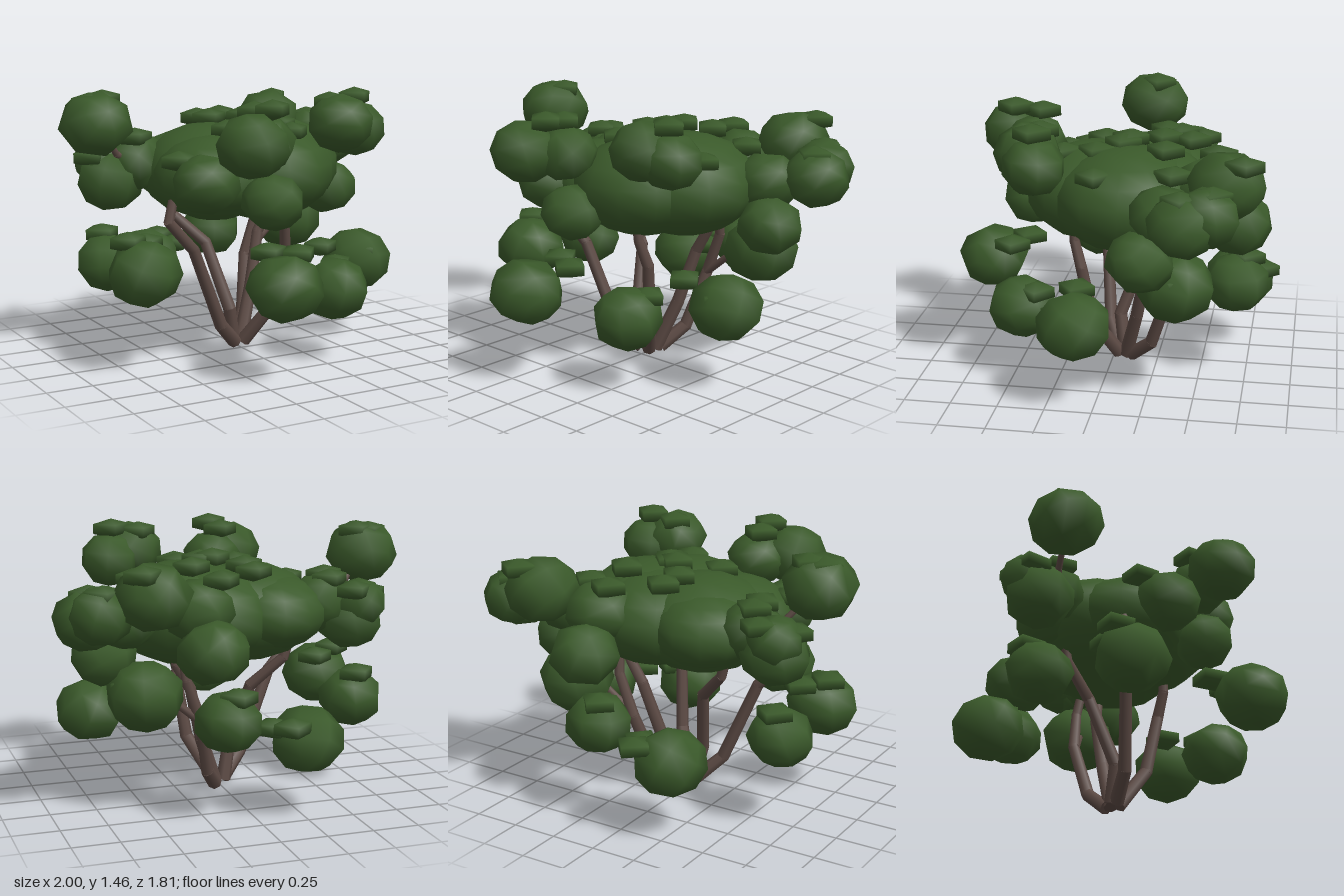
import * as THREE from 'three';

const leaf = new THREE.MeshStandardMaterial({ color: 0x3a592a });
leaf.name = 'leaf green';
const bark = new THREE.MeshStandardMaterial({ color: 0x5c4a44 });
bark.name = 'bark brown';

// small seeded generator for the turn of each clump
let seed = 7;
const rand = () => (seed = (seed * 16807) % 2147483647) / 2147483647;

// squashed low-sided sphere, smooth shaded, tilted before squashing
function clump(name, [x, y, z, r], squash, sides, rings, turn, tilt) {
  const geometry = new THREE.SphereGeometry(r, sides, rings);
  geometry.rotateX(tilt).rotateY(turn);
  const mesh = new THREE.Mesh(geometry, leaf);
  mesh.name = name;
  mesh.scale.y = squash;
  mesh.position.set(x, y, z);
  return mesh;
}

// tapering stem made of short cylinders between points
function stem(name, points, r0, r1) {
  const group = new THREE.Group();
  group.name = name;
  const n = points.length - 1;
  const p = points.map(a => new THREE.Vector3(...a));
  const radius = i => r0 + (r1 - r0) * i / n;
  for (let i = 0; i < n; i++) {
    const dir = p[i + 1].clone().sub(p[i]);
    const len = dir.length();
    const mesh = new THREE.Mesh(new THREE.CylinderGeometry(radius(i + 1), radius(i), len + 0.015, 7), bark);
    mesh.name = 'stemSegment';
    mesh.position.copy(p[i]).addScaledVector(dir, 0.5);
    mesh.quaternion.setFromUnitVectors(new THREE.Vector3(0, 1, 0), dir.normalize());
    group.add(mesh);
  }
  return group;
}

export function createModel() {
  const shrub = new THREE.Group();
  shrub.name = 'shrub';

  // stems fanning out from the root
  const stems = [
    [[-0.03, 0.03, -0.03], [-0.15, 0.15, 0.04], [-0.34, 0.6, 0.09], [-0.5, 0.77, 0.12], [-0.45, 0.95, 0.1]],
    [[-0.02, 0.03, -0.06], [-0.06, 0.22, -0.03], [-0.14, 0.58, -0.16], [-0.3, 0.74, -0.24], [-0.35, 0.9, -0.25]],
    [[0.03, 0.03, -0.03], [0.15, 0.25, 0.09], [0.19, 0.58, 0.15], [0.16, 0.72, 0.19], [0.14, 0.9, 0.2]],
    [[0.05, 0.03, -0.11], [0.13, 0.14, -0.23], [0.2, 0.45, -0.33], [0.28, 0.68, -0.34], [0.3, 0.9, -0.3]],
    [[0.04, 0.03, -0.08], [0.14, 0.3, -0.15], [0.22, 0.6, -0.21], [0.3, 0.74, -0.22], [0.3, 0.9, -0.2]],
  ];
  stems.forEach(points => shrub.add(stem('stem', points, 0.04, 0.024)));

  // thin side twigs
  const twigs = [
    [[0.2, 0.45, -0.32], [0.36, 0.58, -0.34], [0.5, 0.68, -0.4]],
    [[-0.5, 1.03, -0.25], [-0.65, 1.1, -0.2], [-0.77, 1.25, -0.13]],
    [[0.35, 1.0, -0.35], [0.6, 1.0, -0.42], [0.8, 1.05, -0.47]],
  ];
  twigs.forEach(points => shrub.add(stem('twig', points, 0.024, 0.013)));

  // broad merged crown
  const crown = [
    [0.22, 1.0, -0.11, 0.4], [0.09, 1.0, 0.08, 0.38], [-0.13, 0.99, -0.13, 0.38],
    [-0.2, 0.98, 0.06, 0.33], [0.12, 1.0, -0.2, 0.37], [-0.22, 1.0, -0.26, 0.29],
  ];
  crown.forEach((c, i) => shrub.add(clump('crownClump', c, 0.69, 12, 9, i * 0.4, 0)));

  // outer leaf clumps: x, y, z, radius
  const outer = [
    [-0.8, 1.28, -0.12, 0.2], [-0.65, 0.95, -0.3, 0.19], [-0.68, 1.04, -0.36, 0.15],
    [-0.5, 1.04, -0.27, 0.18],
    [-0.07, 0.89, 0.46, 0.17], [-0.38, 0.99, 0.32, 0.18], [-0.27, 1.21, 0.6, 0.19],
    [-0.12, 1.2, 0.45, 0.17], [0.51, 1.23, 0.33, 0.17], [0.38, 1.27, 0.39, 0.18],
    [0.83, 1.06, -0.46, 0.18], [0.7, 0.82, -0.24, 0.18], [0.6, 1.03, -0.34, 0.18],
    [0.25, 0.9, -0.69, 0.19], [0.54, 1.19, -0.65, 0.2], [0.27, 1.08, -0.52, 0.19],
    [0.79, 1.1, -0.58, 0.17],
    [-0.68, 0.53, 0.2, 0.2], [-0.68, 0.5, -0.28, 0.18], [-0.26, 0.41, -0.68, 0.2],
    [-0.15, 0.5, 0.72, 0.2], [0.32, 0.39, 0.45, 0.19], [0.69, 0.45, 0.1, 0.2],
    [0.52, 0.63, -0.4, 0.21], [0.17, 0.54, -0.69, 0.18],
  ];
  outer.forEach(c => shrub.add(clump('leafClump', c, 0.88, 7, 5, rand() * 6.28, rand() * 1.2)));

  // small flat tufts on top: x, y, z
  const tufts = [
    [-0.83, 1.39, -0.13], [-0.75, 1.4, -0.15], [-0.62, 1.12, -0.43],
    [-0.76, 1.08, -0.31], [-0.53, 1.17, -0.31], [-0.53, 1.18, -0.23],
    [-0.06, 1.25, -0.42], [-0.06, 1.26, -0.27], [0.24, 1.27, -0.31], [0.06, 1.28, -0.1],
    [0.12, 1.27, -0.07], [0.17, 1.22, 0.24], [-0.12, 1.23, 0.06], [0.2, 1.24, 0.06],
    [0.46, 1.17, 0.03], [0.43, 1.19, -0.37], [0.17, 1.24, -0.58], [-0.48, 1.1, 0.2],
    [-0.16, 1.36, 0.42], [-0.14, 1.38, 0.57], [0.5, 1.4, 0.34], [0.35, 1.38, 0.33],
    [0.62, 1.31, -0.74], [0.78, 1.2, -0.6], [0.82, 1.18, -0.45],
    [-0.13, 0.51, -0.81], [-0.08, 0.48, -0.67], [0.13, 0.67, -0.74],
    [-0.61, 0.66, 0.06], [-0.74, 0.69, 0.13], [-0.68, 0.65, -0.35],
    [0.02, 0.63, 0.57], [-0.12, 0.64, 0.5], [0.38, 0.5, 0.36], [0.43, 0.55, 0.13],
    [0.69, 0.51, 0.17], [0.6, 0.68, -0.4],
  ];
  tufts.forEach(t => shrub.add(clump('leafTuft', [...t, 0.115], 0.47, 4, 3, (rand() - 0.5) * 0.3, 0)));

  return shrub;
}
